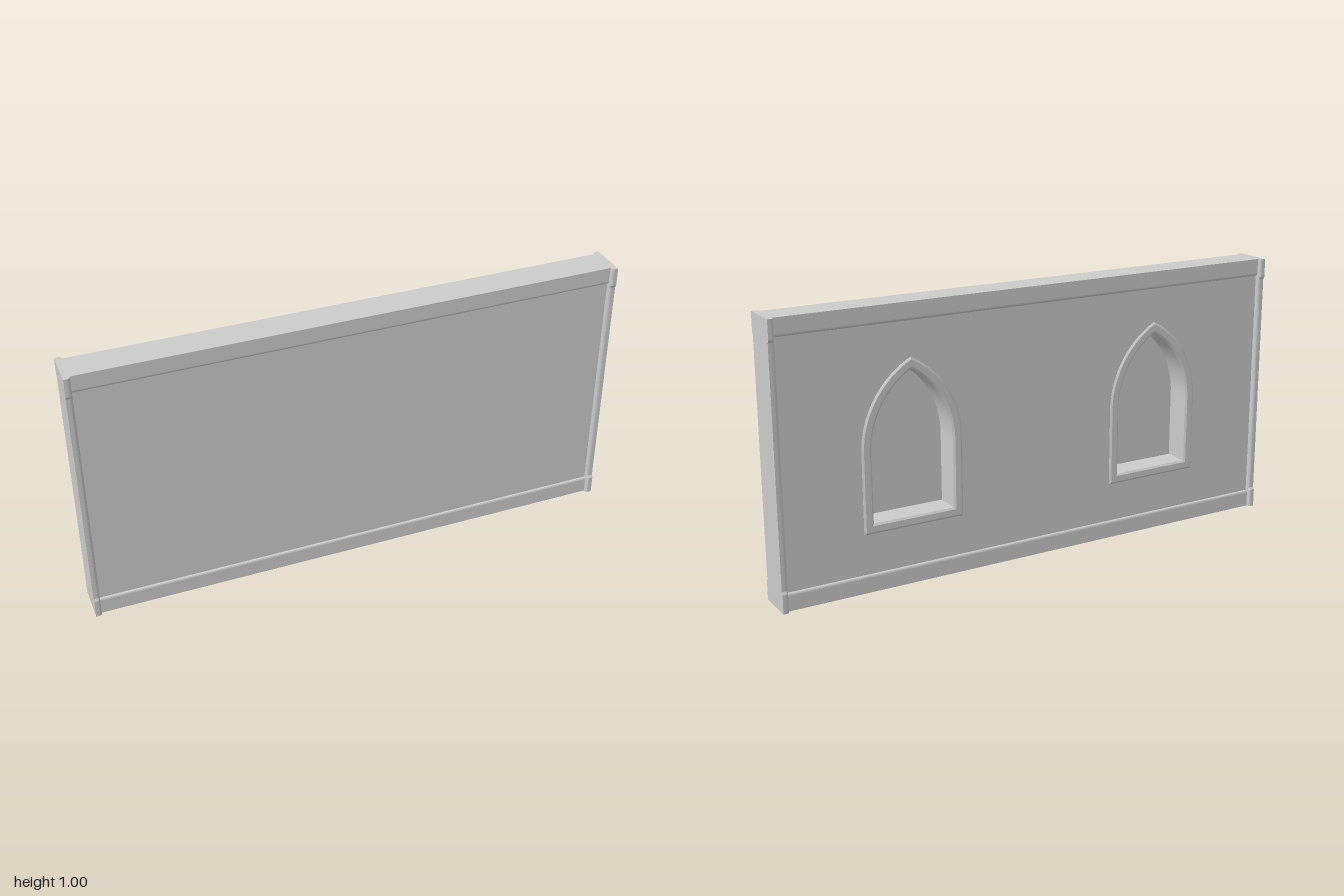
import * as THREE from 'three';

const material = new THREE.MeshStandardMaterial({ color: 0xcccccc });

function add(parent, name, geometry) {
  const mesh = new THREE.Mesh(geometry, material);
  mesh.name = name;
  parent.add(mesh);
  return mesh;
}

// Pointed arch outline around x = cx, grown or shrunk by an inset
function archPath(PathType, cx, inset) {
  const half = 0.19 - inset, sill = 0.21 + inset, spring = 0.5;
  const radius = 0.348 - inset, offset = radius - half;
  const rise = Math.sqrt(radius * radius - offset * offset);
  const apex = Math.atan2(rise, offset);
  const path = new PathType();
  path.moveTo(cx - half, sill);
  path.lineTo(cx + half, sill);
  path.lineTo(cx + half, spring);
  path.absarc(cx - offset, spring, radius, 0, apex, false);
  path.absarc(cx + offset, spring, radius, Math.PI - apex, Math.PI, false);
  path.closePath();
  return path;
}

// Symmetric section: full depth at the outside, rounding in to the wall face
function postShape(depth, shoulder, edge, inner) {
  const s = new THREE.Shape();
  s.moveTo(1, -depth);
  s.lineTo(1, depth);
  s.lineTo(shoulder, depth);
  s.quadraticCurveTo(edge, depth, edge, inner);
  s.lineTo(edge, -inner);
  s.quadraticCurveTo(edge, -depth, shoulder, -depth);
  s.closePath();
  return s;
}

function upright(shape, height) {
  return new THREE.ExtrudeGeometry(shape, { depth: height, bevelEnabled: false, curveSegments: 6 })
    .rotateX(-Math.PI / 2);
}

export function createModel() {
  const group = new THREE.Group();
  const FACE = 0.05, NICHE_BACK = 0.04;
  const centres = [-0.5, 0.5];

  // Wall with two niches open to the back, closed by a thin front panel
  const wall = new THREE.Shape();
  wall.moveTo(-0.99, 0.01);
  wall.lineTo(0.99, 0.01);
  wall.lineTo(0.99, 0.99);
  wall.lineTo(-0.99, 0.99);
  wall.closePath();
  for (const cx of centres) wall.holes.push(archPath(THREE.Path, cx, 0.036));
  add(group, 'wall', new THREE.ExtrudeGeometry(wall, {
    depth: FACE + NICHE_BACK, bevelEnabled: false, curveSegments: 16,
  }).translate(0, 0, -FACE));
  add(group, 'frontPanel', new THREE.BoxGeometry(1.98, 0.98, FACE - NICHE_BACK)
    .translate(0, 0.5, (FACE + NICHE_BACK) / 2));

  // Slightly raised bevelled surrounds
  for (const cx of centres) {
    const ring = archPath(THREE.Shape, cx, 0);
    ring.holes.push(archPath(THREE.Path, cx, 0.036));
    add(group, 'nicheSurround', new THREE.ExtrudeGeometry(ring, {
      depth: 0.004, bevelEnabled: true, bevelThickness: 0.005, bevelSize: 0.007,
      bevelOffset: -0.007, bevelSegments: 1, curveSegments: 16,
    }).translate(0, 0, -FACE - 0.001));
  }

  // Bottom and top rails with a rounded shoulder
  const rail = new THREE.Shape();
  rail.moveTo(-0.0575, 0);
  rail.lineTo(0.0575, 0);
  rail.lineTo(0.0575, 0.054);
  rail.quadraticCurveTo(0.0575, 0.064, FACE - 0.001, 0.065);
  rail.lineTo(-FACE + 0.001, 0.065);
  rail.quadraticCurveTo(-0.0575, 0.064, -0.0575, 0.054);
  rail.closePath();
  const railGeometry = new THREE.ExtrudeGeometry(rail, { depth: 1.98, bevelEnabled: false, curveSegments: 6 })
    .translate(0, 0, -0.99).rotateY(Math.PI / 2);
  add(group, 'bottomRail', railGeometry);
  const topRail = add(group, 'topRail', railGeometry);
  topRail.rotation.x = Math.PI;
  topRail.position.y = 1;

  // End posts, each with a block at the foot and head
  const postGeometry = upright(postShape(0.0655, 0.988, 0.975, FACE - 0.001), 0.98).translate(0, 0.01, 0);
  const blockShape = postShape(0.071, 0.988, 0.977, 0.0565);
  const blockGeometry = upright(blockShape, 0.068);
  const shoulderGeometry = upright(blockShape, 0.01);
  const p = shoulderGeometry.attributes.position;
  for (let i = 0; i < p.count; i++) {
    if (p.getY(i) > 0.005) p.setZ(i, p.getZ(i) * 0.0655 / 0.071);
  }
  shoulderGeometry.translate(0, 0.068, 0);
  shoulderGeometry.computeVertexNormals();

  for (const side of [1, -1]) {
    const end = new THREE.Group();
    end.name = side > 0 ? 'leftPost' : 'rightPost';
    add(end, 'shaft', postGeometry);
    for (const top of [false, true]) {
      const block = new THREE.Group();
      block.name = top ? 'headBlock' : 'footBlock';
      add(block, 'block', blockGeometry);
      add(block, 'blockShoulder', shoulderGeometry);
      if (top) {
        block.rotation.x = Math.PI;
        block.position.y = 1;
      }
      end.add(block);
    }
    if (side < 0) end.rotation.y = Math.PI;
    group.add(end);
  }
  return group;
}
